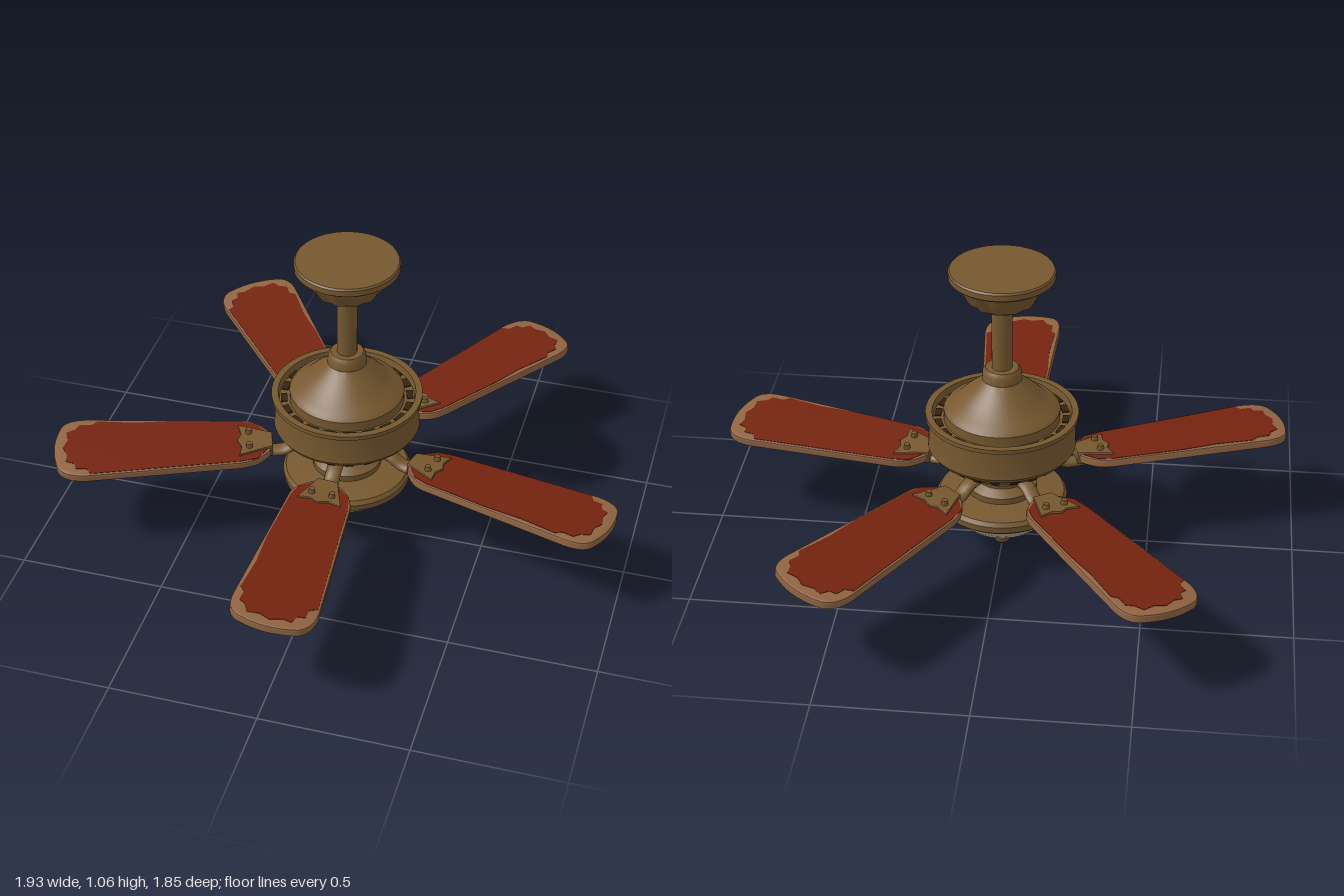
import * as THREE from 'three';
import { toCreasedNormals } from 'three/addons/utils/BufferGeometryUtils.js';

export function createModel() {
  const mat = (name, color) => {
    const m = new THREE.MeshStandardMaterial({ color, side: THREE.DoubleSide });
    m.name = name;
    return m;
  };
  const brass = mat('aged brass', 0x76582f);
  const red = mat('red paint', 0x74230f);
  const wood = mat('worn wood', 0x8f6442);
  const glass = mat('frosted glass', 0xb3a898);
  const dark = mat('dark recess', 0x33240f);

  const model = new THREE.Group();
  const fan = new THREE.Group();
  fan.name = 'ceilingFan';
  fan.position.z = -0.055;
  model.add(fan);

  const add = (parent, name, geo, material, x = 0, y = 0, z = 0) => {
    const mesh = new THREE.Mesh(geo, material);
    mesh.name = name;
    mesh.position.set(x, y, z);
    parent.add(mesh);
    return mesh;
  };
  // Profiles are [radius, height] pairs running from bottom to top
  const lathe = (pts, seg = 48) =>
    toCreasedNormals(new THREE.LatheGeometry(pts.map(p => new THREE.Vector2(...p)), seg), 0.6);
  const shape = pts => new THREE.Shape(pts.map(p => new THREE.Vector2(...p)));
  // Flat slab lying in the xz plane, centred on y = 0
  const slab = (s, depth, bevel = 0) => {
    const g = new THREE.ExtrudeGeometry(s, {
      depth: depth - 2 * bevel, bevelEnabled: bevel > 0, bevelThickness: bevel,
      bevelSize: bevel, bevelOffset: -bevel, bevelSegments: 2, curveSegments: 10,
    });
    g.translate(0, 0, -depth / 2 + bevel);
    return g.rotateX(-Math.PI / 2);
  };

  // Ceiling canopy: plate and a gently scalloped cup
  add(fan, 'canopyPlate', lathe([[0, 1.03], [0.165, 1.03], [0.175, 1.038], [0.175, 1.058], [0.17, 1.064], [0, 1.064]]), brass);
  const cup = new THREE.LatheGeometry([[0.05, 0.935], [0.078, 0.935], [0.082, 0.95], [0.105, 0.952],
    [0.118, 0.97], [0.135, 1.005], [0.148, 1.032]].map(p => new THREE.Vector2(...p)), 72);
  const cp = cup.attributes.position;
  for (let i = 0; i < cp.count; i++) {
    const y = cp.getY(i);
    if (y < 0.951) continue;
    const k = 1 + 0.035 * Math.cos(12 * Math.atan2(cp.getZ(i), cp.getX(i)));
    cp.setXYZ(i, cp.getX(i) * k, y, cp.getZ(i) * k);
  }
  add(fan, 'canopyCup', toCreasedNormals(cup, 0.5), brass);
  add(fan, 'downRod', new THREE.CylinderGeometry(0.034, 0.034, 0.27, 24), brass, 0, 0.815, 0);

  // Motor: domed cap sitting inside a broad drum
  add(fan, 'motorCap', lathe([[0.195, 0.5], [0.195, 0.545], [0.185, 0.557], [0.165, 0.565], [0.125, 0.605],
    [0.085, 0.64], [0.066, 0.66], [0.064, 0.69], [0.055, 0.702], [0, 0.702]]), brass);
  add(fan, 'motorDrum', lathe([[0.1, 0.352], [0.17, 0.352], [0.19, 0.36], [0.222, 0.395], [0.24, 0.4],
    [0.25, 0.415], [0.247, 0.44], [0.246, 0.515], [0.257, 0.52], [0.257, 0.535], [0.234, 0.535],
    [0.23, 0.51], [0.19, 0.51]]), brass);
  for (let i = 0; i < 20; i++) {
    const a = (i / 20) * Math.PI * 2;
    // Slots in the groove on top
    const slot = add(fan, 'topSlot', new THREE.BoxGeometry(0.022, 0.006, 0.045), dark,
      Math.cos(a) * 0.214, 0.511, Math.sin(a) * 0.214);
    slot.rotation.y = -a;
    // Vents on the tapered underside
    const vent = add(fan, 'ventSlot', new THREE.BoxGeometry(0.009, 0.03, 0.026), dark,
      Math.cos(a) * 0.206, 0.377, Math.sin(a) * 0.206);
    vent.rotation.set(0, -a, -0.74, 'YXZ');
  }

  // Hub, light fitting, bowl and finial
  add(fan, 'hub', lathe([[0.1, 0.22], [0.118, 0.225], [0.12, 0.255], [0.105, 0.265], [0.088, 0.275],
    [0.09, 0.3], [0.125, 0.31], [0.125, 0.335], [0.11, 0.355]], 36), brass);
  add(fan, 'lightRing', lathe([[0.185, 0.172], [0.205, 0.172], [0.22, 0.185], [0.222, 0.208], [0.212, 0.222],
    [0.165, 0.228], [0.09, 0.235]]), brass);
  add(fan, 'glassBowl', lathe([[0.03, 0.07], [0.065, 0.076], [0.105, 0.09], [0.14, 0.11], [0.168, 0.137],
    [0.183, 0.162], [0.188, 0.185]]), glass);
  add(fan, 'finial', lathe([[0, 0], [0.014, 0.003], [0.024, 0.013], [0.026, 0.026], [0.02, 0.038],
    [0.036, 0.045], [0.046, 0.056], [0.062, 0.063], [0.064, 0.075], [0.04, 0.082]], 28), brass);

  // Blade outline: x runs outward, y across the blade
  const outline = new THREE.Shape();
  outline.moveTo(0.262, -0.045);
  outline.quadraticCurveTo(0.3, -0.1, 0.35, -0.108);
  outline.lineTo(0.88, -0.136);
  outline.quadraticCurveTo(0.955, -0.14, 0.975, -0.1);
  outline.quadraticCurveTo(1.015, 0, 0.98, 0.105);
  outline.quadraticCurveTo(0.955, 0.148, 0.88, 0.146);
  outline.lineTo(0.37, 0.108);
  outline.quadraticCurveTo(0.3, 0.1, 0.262, 0.045);
  const bladeGeo = toCreasedNormals(slab(outline, 0.03, 0.007), 0.7);
  // Paint is worn away raggedly at the tip
  const paintGeo = slab(shape([[0.275, -0.045], [0.31, -0.086], [0.36, -0.1], [0.6, -0.113], [0.72, -0.11],
    [0.85, -0.122], [0.87, -0.105], [0.91, -0.108], [0.925, -0.085], [0.955, -0.07], [0.95, -0.03],
    [0.965, 0.005], [0.95, 0.045], [0.955, 0.075], [0.925, 0.085], [0.92, 0.11], [0.885, 0.112],
    [0.87, 0.137], [0.7, 0.124], [0.37, 0.1], [0.31, 0.088], [0.275, 0.045]]), 0.033);
  const bracketGeo = slab(shape([[0.255, -0.035], [0.3, -0.05], [0.37, -0.075], [0.362, -0.03], [0.375, 0],
    [0.362, 0.03], [0.37, 0.075], [0.3, 0.05], [0.255, 0.035]]), 0.048, 0.004);
  const armGeo = new THREE.TubeGeometry(new THREE.CatmullRomCurve3([
    new THREE.Vector3(0.09, 0.012, 0), new THREE.Vector3(0.17, 0.005, 0),
    new THREE.Vector3(0.22, -0.02, 0), new THREE.Vector3(0.31, -0.018, 0)]), 16, 0.017, 10);
  armGeo.scale(1, 1, 1.6);

  // Five blades: [direction in degrees, rise toward the tip, length scale]
  const blades = [[89.3, 0.022, 1], [13.5, 0.002, 0.99], [-55.3, 0.015, 0.99], [-126.5, 0.015, 1.01], [160, 0.02, 1.01]];
  for (const [deg, rise, len] of blades) {
    const arm = new THREE.Group();
    arm.name = 'bladeAssembly';
    arm.position.y = 0.315;
    arm.rotation.y = -THREE.MathUtils.degToRad(deg);
    fan.add(arm);
    add(arm, 'bladeArm', armGeo, brass);
    const blade = new THREE.Group();
    blade.name = 'blade';
    blade.rotation.set(-0.085, 0, rise);
    blade.scale.x = len;
    arm.add(blade);
    add(blade, 'bladeBoard', bladeGeo, wood);
    add(blade, 'bladePaint', paintGeo, red);
    add(blade, 'bladeBracket', bracketGeo, brass);
    for (const z of [-0.035, 0.035])
      add(blade, 'bracketScrew', new THREE.CylinderGeometry(0.01, 0.012, 0.02, 10), brass, 0.335, 0.03, z);
  }
  return model;
}
